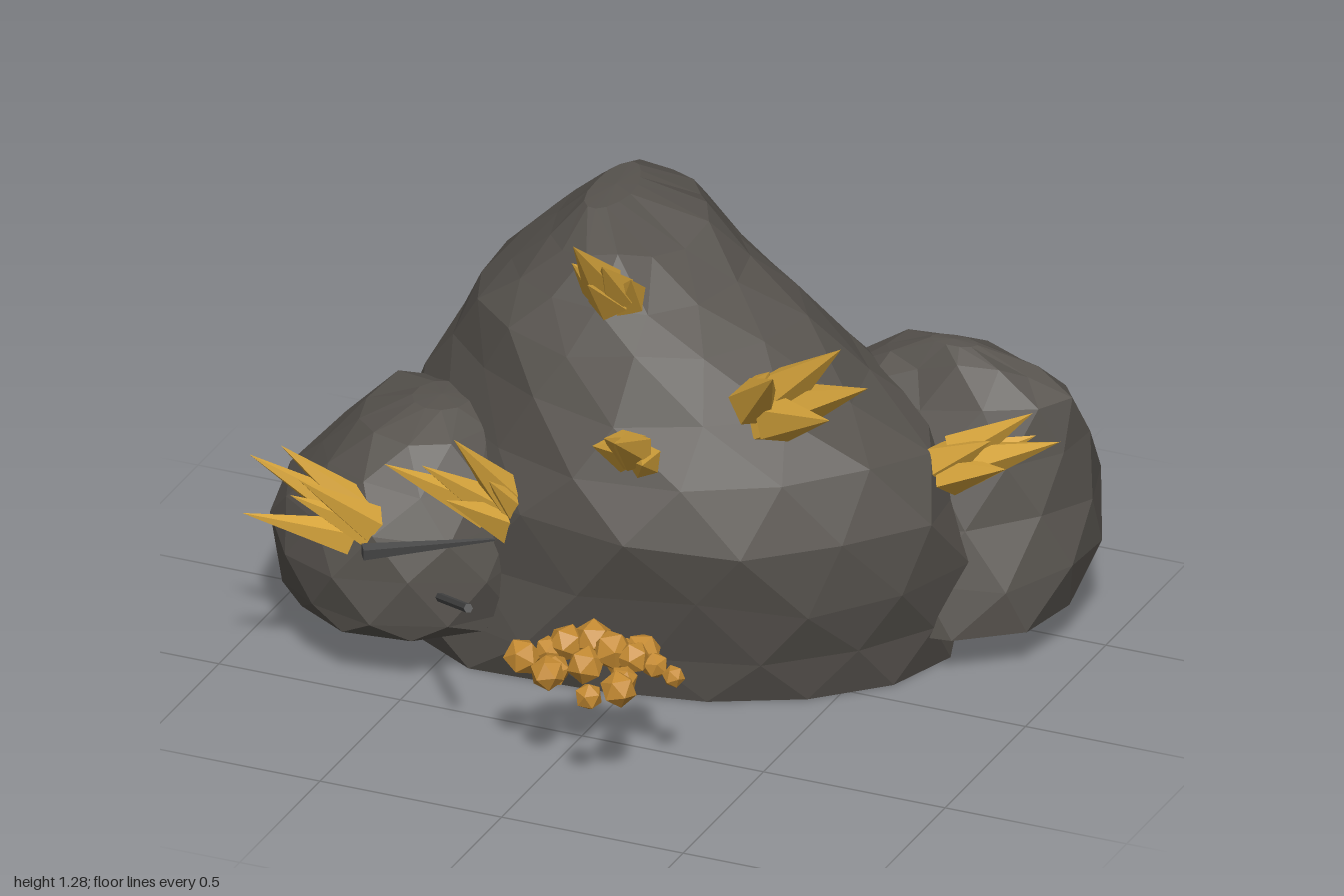
import * as THREE from 'three';

const stone = new THREE.MeshStandardMaterial({ name: 'stone', color: 0x57534e, flatShading: true });
const gold = new THREE.MeshStandardMaterial({ name: 'gold', color: 0xd9a63c, flatShading: true });
const darkGold = new THREE.MeshStandardMaterial({ name: 'darkGold', color: 0xc48a32, flatShading: true });
const iron = new THREE.MeshStandardMaterial({ name: 'iron', color: 0x4a4a4a, flatShading: true });

const V = (a) => new THREE.Vector3(...a);

// Small seeded random generator
function seeded(seed) {
  let s = seed;
  return () => (s = (s * 16807) % 2147483647) / 2147483647;
}

// Faceted boulder: levels are [y, xMin, xMax, zMin, zMax, corners], where corners swells or trims
// the four diagonals (+x+z, -x+z, -x-z, +x-z); neighbouring rings are turned half a step
function boulder(name, levels, sides, seed, rough) {
  const rnd = seeded(seed), pos = [], idx = [];
  levels.forEach(([y, x0, x1, z0, z1, corners], l) => {
    const inner = l > 0 && l < levels.length - 1;
    for (let i = 0; i < sides; i++) {
      const turn = (i + (l % 2) / 2) / sides, t = turn * Math.PI * 2;
      const r = 1 + corners[Math.floor(turn * 4)] * Math.abs(Math.sin(2 * t)) + (rnd() - 0.5) * rough;
      const dy = (rnd() - 0.5) * (inner ? 0.04 : 0);
      pos.push((x0 + x1) / 2 + Math.cos(t) * r * (x1 - x0) / 2, y + dy,
        (z0 + z1) / 2 + Math.sin(t) * r * (z1 - z0) / 2);
    }
  });
  for (let l = 0; l < levels.length - 1; l++) {
    for (let i = 0; i < sides; i++) {
      const j = (i + 1) % sides, lo = l * sides, up = lo + sides;
      if (l % 2) idx.push(lo + i, up + i, up + j, lo + i, up + j, lo + j);
      else idx.push(lo + i, up + i, lo + j, up + i, up + j, lo + j);
    }
  }
  // Flat bottom and top caps
  const first = levels[0], last = levels[levels.length - 1];
  const centre = ([y, x0, x1, z0, z1], lift) => pos.push((x0 + x1) / 2, y + lift, (z0 + z1) / 2);
  const bottom = pos.length / 3;
  centre(first, 0);
  centre(last, 0.005);
  const top = (levels.length - 1) * sides;
  for (let i = 0; i < sides; i++) {
    const j = (i + 1) % sides;
    idx.push(bottom, i, j, bottom + 1, top + j, top + i);
  }
  const indexed = new THREE.BufferGeometry();
  indexed.setAttribute('position', new THREE.Float32BufferAttribute(pos, 3));
  indexed.setIndex(idx);
  const geo = indexed.toNonIndexed();
  geo.computeVertexNormals();
  const mesh = new THREE.Mesh(geo, stone);
  mesh.name = name;
  return mesh;
}

// Tapered bar between two points
function bar(name, from, to, r0, r1, sides, material) {
  const dir = to.clone().sub(from);
  const mesh = new THREE.Mesh(new THREE.CylinderGeometry(r1, r0, dir.length(), sides), material);
  mesh.position.copy(from).addScaledVector(dir, 0.5);
  mesh.quaternion.setFromUnitVectors(new THREE.Vector3(0, 1, 0), dir.normalize());
  mesh.name = name;
  return mesh;
}

// Fan of crystal spikes growing from one spot towards several tips
function crystals(name, base, tips, width) {
  const group = new THREE.Group();
  group.name = name;
  const foot = V(base);
  const mean = tips.reduce((m, t) => m.add(V(t)), new THREE.Vector3()).divideScalar(tips.length);
  tips.forEach((t) => {
    const tip = V(t);
    const start = foot.clone().add(tip.clone().sub(mean).multiplyScalar(0.4));
    group.add(bar('spike', start, tip, width, 0, 5, gold));
  });
  return group;
}

export function createModel() {
  const model = new THREE.Group();
  model.name = 'goldOre';

  // Boulders
  const low = [-0.03, 0.28, -0.02, -0.07], mid = [-0.05, -0.08, 0.05, -0.1];
  const high = [0, 0.05, 0.09, -0.2];
  model.add(boulder('mainBoulder', [
    [0, -0.67, 0.68, -0.79, 0.23, low], [0.13, -0.7, 0.71, -0.8, 0.26, low],
    [0.29, -0.76, 0.74, -0.78, 0.32, [-0.05, 0.05, 0.02, -0.1]], [0.47, -0.78, 0.73, -0.75, 0.37, mid],
    [0.62, -0.73, 0.66, -0.73, 0.32, mid], [0.76, -0.65, 0.48, -0.71, 0.25, [-0.04, -0.04, 0.06, -0.16]],
    [0.89, -0.57, 0.29, -0.66, 0.18, high], [1.0, -0.47, 0.14, -0.59, 0.11, high],
    [1.1, -0.37, 0.02, -0.51, 0.03, high], [1.175, -0.28, -0.17, -0.36, -0.08, high],
  ], 15, 77, 0.03));
  const even = [0, 0, 0, 0], frontFull = [0.05, 0, 0, 0], outerTrim = [0, -0.07, 0, 0];
  model.add(boulder('rightBoulder', [
    [0.14, -0.95, -0.31, -0.2, 0.47, outerTrim], [0.18, -0.98, -0.29, -0.22, 0.5, outerTrim],
    [0.3, -1.0, -0.28, -0.24, 0.51, outerTrim], [0.42, -0.97, -0.3, -0.24, 0.48, outerTrim],
    [0.53, -0.88, -0.34, -0.21, 0.41, outerTrim], [0.62, -0.77, -0.4, -0.13, 0.32, even],
    [0.67, -0.63, -0.48, 0.03, 0.2, even],
  ], 11, 41, 0.04));
  model.add(boulder('leftBoulder', [
    [0.11, 0.24, 0.92, -0.8, -0.14, frontFull], [0.25, 0.21, 0.96, -0.83, -0.17, frontFull],
    [0.39, 0.19, 0.95, -0.86, -0.21, even], [0.54, 0.21, 0.93, -0.75, -0.27, even],
    [0.66, 0.3, 0.9, -0.67, -0.34, even], [0.74, 0.4, 0.81, -0.59, -0.4, even],
    [0.79, 0.53, 0.66, -0.5, -0.44, even],
  ], 11, 19, 0.04));

  // Crystal clusters: base point, then spike tips
  model.add(crystals('topCrystals', [-0.1, 1.04, 0.09],
    [[-0.1, 1.28, 0.33], [-0.17, 1.15, 0.18], [-0.06, 1.19, 0.24], [-0.1, 1.13, 0.24], [-0.02, 1.12, 0.15]], 0.055));
  model.add(crystals('frontCrystals', [0.04, 0.7, 0.27],
    [[0.13, 0.89, 0.59], [0.01, 0.8, 0.46], [0.08, 0.83, 0.48], [0.13, 0.75, 0.42], [0.06, 0.85, 0.5]], 0.053));
  model.add(crystals('shoulderCrystals', [0.32, 0.79, 0.05],
    [[0.55, 1.03, 0.13], [0.62, 0.93, 0.12], [0.58, 0.9, 0.27], [0.33, 0.9, 0.08],
      [0.44, 0.92, 0.01], [0.5, 0.85, 0.2], [0.42, 0.98, 0.26]], 0.065));
  model.add(crystals('leftCrystals', [0.7, 0.57, -0.25],
    [[0.99, 0.69, -0.24], [0.91, 0.75, -0.25], [0.87, 0.62, -0.17], [0.88, 0.64, -0.34], [0.82, 0.68, -0.19]], 0.058));
  model.add(crystals('rightCrystals', [-0.64, 0.44, 0.43],
    [[-0.89, 0.64, 0.56], [-0.83, 0.65, 0.5], [-0.87, 0.52, 0.65], [-0.76, 0.57, 0.6],
      [-0.82, 0.55, 0.45], [-0.73, 0.63, 0.62]], 0.05));
  model.add(crystals('cornerCrystals', [-0.32, 0.46, 0.26],
    [[-0.38, 0.73, 0.44], [-0.55, 0.65, 0.49], [-0.46, 0.65, 0.46], [-0.4, 0.56, 0.45], [-0.31, 0.6, 0.38]], 0.056));

  // Loose nuggets: x, y, z, radius
  const nuggets = [
    [-0.075, 0.3, 0.7, 0.05], [0.02, 0.3, 0.76, 0.046], [0.02, 0.33, 0.64, 0.05], [0.08, 0.34, 0.61, 0.052],
    [0.14, 0.33, 0.63, 0.053], [0.19, 0.3, 0.555, 0.052], [0.05, 0.3, 0.53, 0.032], [0.31, 0.29, 0.63, 0.03],
    [0.22, 0.3, 0.77, 0.048], [0.16, 0.29, 0.82, 0.037], [0.2, 0.29, 0.7, 0.038], [0.25, 0.3, 0.61, 0.036],
    [0.09, 0.3, 0.68, 0.05], [0.01, 0.28, 0.7, 0.045], [0.14, 0.29, 0.58, 0.05], [-0.02, 0.31, 0.66, 0.04],
    [0.2, 0.32, 0.63, 0.045], [0.22, 0.31, 0.73, 0.034], [0.06, 0.28, 0.59, 0.045],
  ];
  const pile = new THREE.Group();
  pile.name = 'nuggets';
  nuggets.forEach(([x, y, z, r], i) => {
    const nugget = new THREE.Mesh(new THREE.IcosahedronGeometry(r, 0), darkGold);
    nugget.name = 'nugget';
    nugget.position.set(x, y, z);
    nugget.rotation.set(i * 0.7, i * 1.3, i * 0.4);
    pile.add(nugget);
  });
  model.add(pile);

  // Pick handle and its pointed head
  model.add(bar('pickHandle', V([-0.4, 0.3, 0.48]), V([-0.18, 0.46, 0.8]), 0.012, 0.012, 6, iron));
  model.add(bar('pickHead', V([-0.56, 0.45, 0.6]), V([-0.28, 0.455, 0.41]), 0.022, 0.004, 4, iron));

  return model;
}
